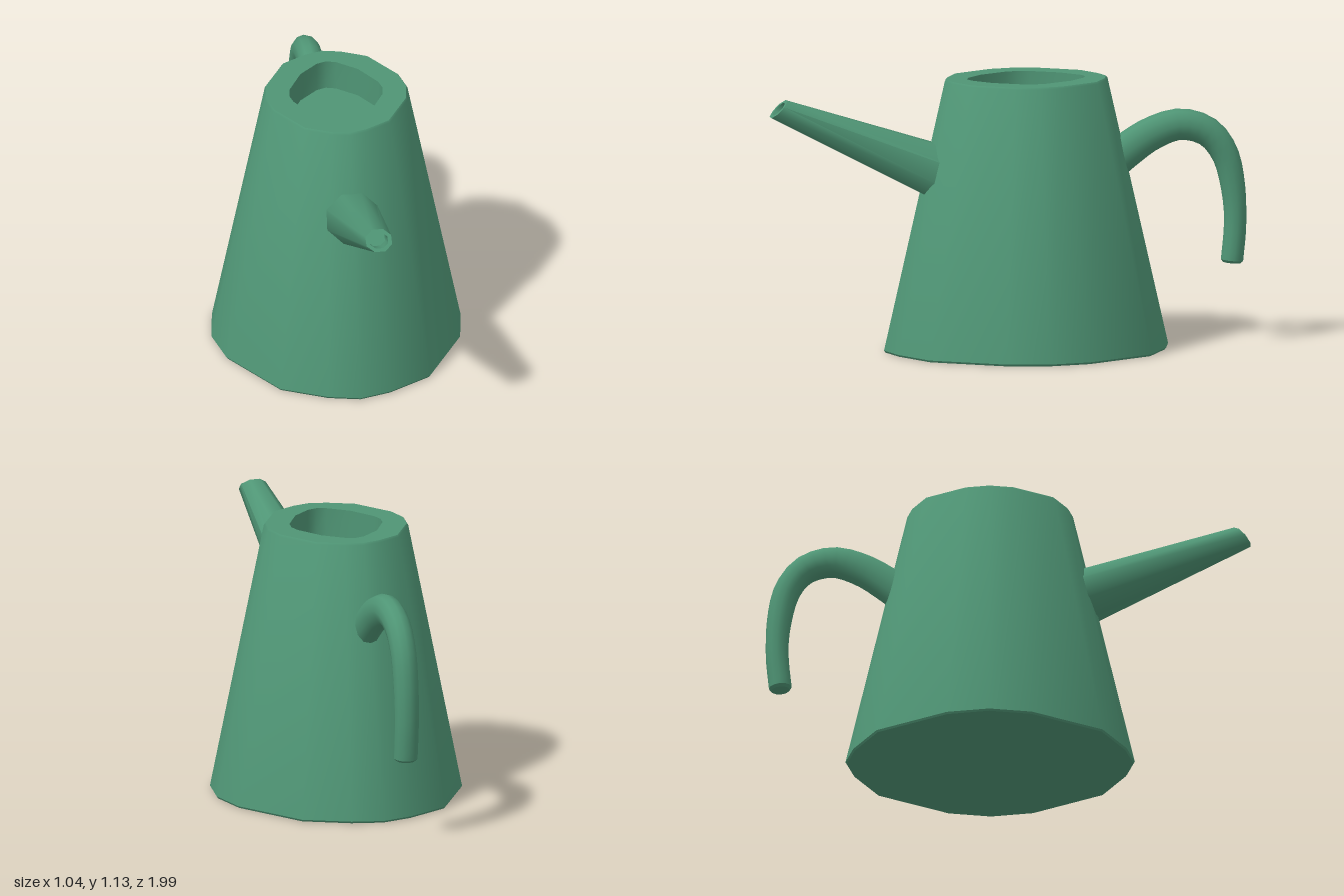
import * as THREE from 'three';
import { toCreasedNormals } from 'three/addons/utils/BufferGeometryUtils.js';

const V = (x, y, z) => new THREE.Vector3(x, y, z);

// Skin a list of rings (equal point counts, counter-clockwise about the path), capping both ends
function loft(rings, crease) {
  const n = rings[0].length, pos = [], index = [];
  rings.forEach(r => r.forEach(p => pos.push(p.x, p.y, p.z)));
  for (let i = 0; i < rings.length - 1; i++) {
    for (let j = 0; j < n; j++) {
      const a = i * n + j, b = i * n + (j + 1) % n;
      index.push(a, b, b + n, a, b + n, a + n);
    }
  }
  const last = (rings.length - 1) * n;
  for (let j = 1; j < n - 1; j++) {
    index.push(0, j + 1, j);
    index.push(last, last + j, last + j + 1);
  }
  const geo = new THREE.BufferGeometry();
  geo.setAttribute('position', new THREE.Float32BufferAttribute(pos, 3));
  geo.setIndex(index);
  return toCreasedNormals(geo, crease);
}

// Mirror a quarter outline [x, z], running from the z axis to the x axis, into a full loop
function outline(quarter) {
  const back = quarter.slice(0, -1).reverse().map(([x, z]) => [x, -z]);
  const half = [...quarter, ...back];
  return [...half, ...half.slice(1, -1).reverse().map(([x, z]) => [-x, z])];
}

// Elliptical ring: centre c, half-axis vectors u and v
function ring(c, u, v, n, offset = 0) {
  return Array.from({ length: n }, (_, i) => {
    const a = ((i + offset) / n) * Math.PI * 2;
    return c.clone().addScaledVector(u, Math.cos(a)).addScaledVector(v, Math.sin(a));
  });
}

export function createModel() {
  const group = new THREE.Group();
  const material = new THREE.MeshStandardMaterial({ color: 0x4f9575 });
  const add = (name, geometry) => {
    const mesh = new THREE.Mesh(geometry, material);
    mesh.name = name;
    group.add(mesh);
  };

  // Tapered body with a recessed opening in its top
  const wall = outline([[0, 0.595], [0.13, 0.562], [0.312, 0.465], [0.488, 0.175], [0.52, 0]]);
  const opening = outline([[0, 0.248], [0.04, 0.235], [0.12, 0.165], [0.185, 0.05], [0.195, 0]]);
  const level = (loop, y, s) => loop.map(([x, z]) => V(x * s, y, z * s - 0.073));
  add('body', loft([
    level(wall, 0, 0.99), level(wall, 0.008, 1),
    level(wall, 1.118, 0.573), level(wall, 1.126, 0.562),
    level(opening, 1.126, 1), level(opening, 1.0, 1),
  ], 0.68));

  // Tapered spout with a slanted, hollow mouth
  const spoutRing = (top, bottom, width, s = 1) => ring(
    top.clone().add(bottom).multiplyScalar(0.5),
    V(width * s, 0, 0),
    top.clone().sub(bottom).multiplyScalar(0.54 * s), 8, 0.5);
  const tipTop = V(0, 1.058, 0.93), tipBottom = V(0, 0.99, 0.997);
  const inward = V(0, -0.03, -0.07);
  add('spout', loft([
    spoutRing(V(0, 0.83, 0.2), V(0, 0.6, 0.25), 0.123),
    spoutRing(tipTop, tipBottom, 0.058),
    spoutRing(tipTop, tipBottom, 0.058, 0.7),
    spoutRing(tipTop.clone().add(inward), tipBottom.clone().add(inward), 0.058, 0.68),
  ], 0.9));

  // Hooked handle, thinning towards its free end
  const path = new THREE.CatmullRomCurve3([
    V(0, 0.74, -0.4), V(0, 0.81, -0.49), V(0, 0.88, -0.6), V(0, 0.915, -0.72), V(0, 0.88, -0.835),
    V(0, 0.79, -0.905), V(0, 0.65, -0.94), V(0, 0.5, -0.949), V(0, 0.335, -0.935),
  ]);
  const side = V(1, 0, 0), steps = 24;
  const handleRing = (t, s) => {
    const across = path.getTangentAt(t).cross(side).normalize();
    const depth = 0.08 - 0.033 * Math.min(1, t * 1.25);
    return ring(path.getPointAt(t), side.clone().multiplyScalar((0.058 - 0.008 * t) * s),
      across.multiplyScalar(depth * s), 12);
  };
  const handle = Array.from({ length: steps }, (_, i) => handleRing((i / steps), 1));
  handle.push(handleRing(0.99, 1), handleRing(1, 0.8));
  add('handle', loft(handle, 0.7));

  return group;
}
